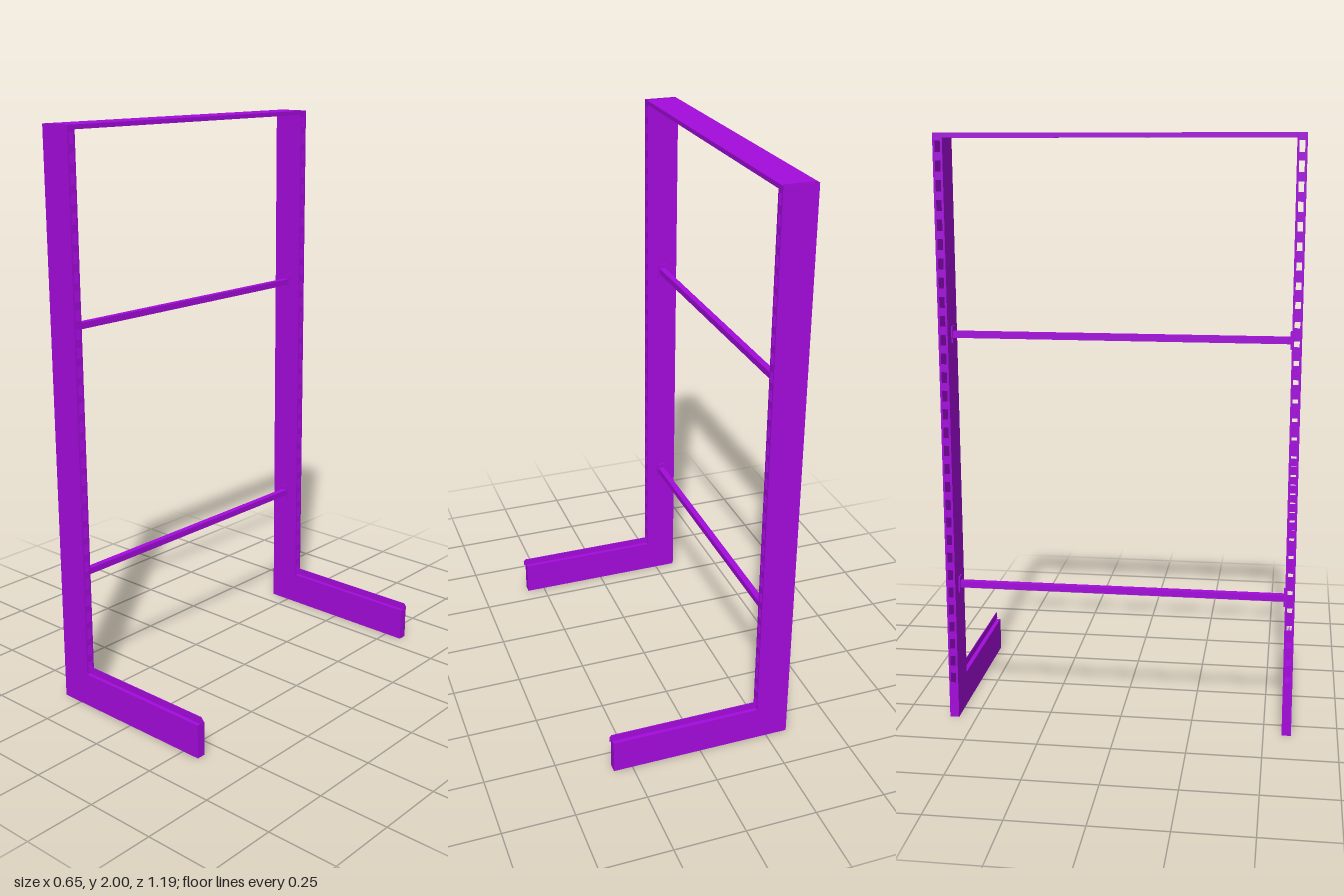
import * as THREE from 'three';

const material = new THREE.MeshStandardMaterial({ color: 0xa40bdc, side: THREE.DoubleSide });

export function createModel() {
  const group = new THREE.Group();
  group.name = 'shelfFrame';

  // box given by its two extreme corners
  function box(name, x0, x1, y0, y1, z0, z1, parent = group) {
    const mesh = new THREE.Mesh(new THREE.BoxGeometry(x1 - x0, y1 - y0, z1 - z0), material);
    mesh.position.set((x0 + x1) / 2, (y0 + y1) / 2, (z0 + z1) / 2);
    mesh.name = name;
    parent.add(mesh);
    return mesh;
  }

  const back = -0.328, front = -0.212, inner = 0.562, outer = 0.594, t = 0.002;

  // narrow face of an upright, punched with a column of slots
  const face = new THREE.Shape();
  face.moveTo(inner, 0).lineTo(outer, 0).lineTo(outer, 2).lineTo(inner, 2).closePath();
  const pitch = 0.0625, slotW = 0.018, slotH = 0.036, mid = (inner + outer) / 2;
  for (let i = 0; i < 30; i++) {
    const y = 0.128 + i * pitch;
    const slot = new THREE.Path();
    slot.moveTo(mid - slotW / 2, y).lineTo(mid - slotW / 2, y + slotH);
    slot.lineTo(mid + slotW / 2, y + slotH).lineTo(mid + slotW / 2, y).closePath();
    face.holes.push(slot);
  }
  const faceGeometry = new THREE.ExtrudeGeometry(face, { depth: t, bevelEnabled: false });
  faceGeometry.rotateY(-Math.PI / 2); // shape x becomes z, depth runs to -x

  const bars = [1.346, 0.473];
  const barX = (back + front) / 2;

  // one hollow upright with its foot, repeated by a half turn-free mirror
  for (const s of [1, -1]) {
    const side = new THREE.Group();
    side.name = s > 0 ? 'leftSide' : 'rightSide';
    group.add(side);
    const mirrored = (name, x0, x1, y0, y1, z0, z1) =>
      box(name, x0, x1, y0, y1, Math.min(s * z0, s * z1), Math.max(s * z0, s * z1), side);

    // open tube: plain wide walls, slotted narrow walls
    mirrored('uprightOuterWall', back, front, 0, 2, outer - t, outer);
    mirrored('uprightInnerWall', back, front, 0, 2, inner, inner + t);
    for (const x of [back + t, front]) {
      const g = faceGeometry.clone();
      if (s < 0) g.translate(0, 0, -inner - outer);
      const mesh = new THREE.Mesh(g, material);
      mesh.name = 'slottedWall';
      mesh.position.x = x;
      side.add(mesh);
    }

    // foot with a thin upright rib along its top
    mirrored('foot', front, 0.317, 0, 0.12, inner, outer);
    const rib = new THREE.Shape();
    rib.moveTo(front, 0.12).lineTo(0.327, 0.12).lineTo(0.327, 0.136);
    rib.lineTo(0.32, 0.145).lineTo(front, 0.145).closePath();
    const ribMesh = new THREE.Mesh(
      new THREE.ExtrudeGeometry(rib, { depth: 0.003, bevelEnabled: false }), material);
    ribMesh.name = 'footRib';
    ribMesh.position.z = s * 0.579 - 0.0015;
    side.add(ribMesh);

    // bar end plates
    for (const y of bars) {
      mirrored('barBracket', barX - 0.016, barX + 0.016, y - 0.028, y + 0.028, inner - 0.005, inner);
    }
  }

  // cross bars
  for (const y of bars) {
    box('crossBar', barX - 0.011, barX + 0.011, y - 0.011, y + 0.011, -inner, inner);
  }

  // top shelf: a tray with its rims turned down
  const end = 0.577;
  box('topPanel', back, front, 2 - t, 2, -end, end);
  box('topBackRim', back, back + t, 1.985, 2 - t, -end, end);
  box('topFrontRim', front - t, front, 1.985, 2 - t, -end, end);

  return group;
}
